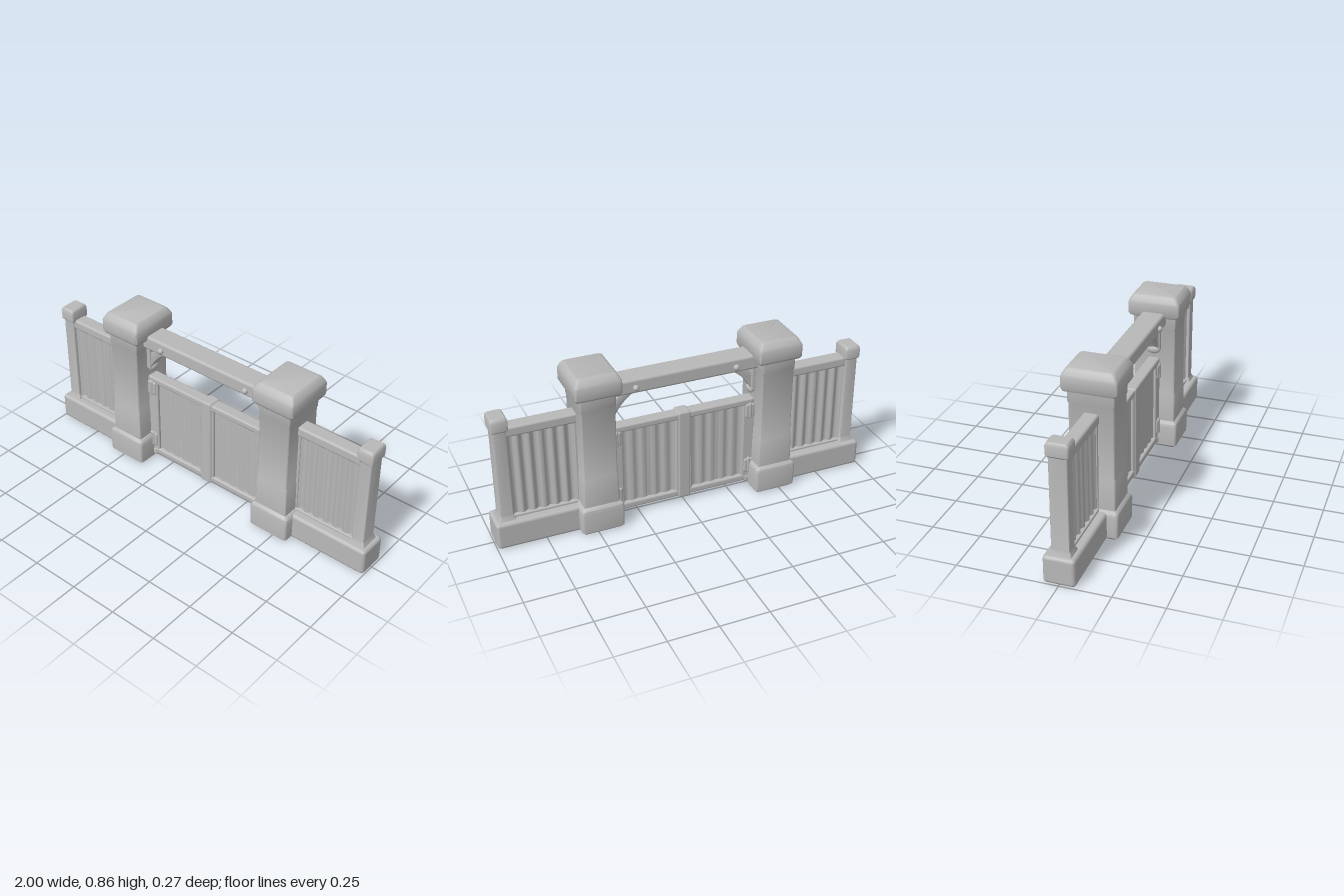
import * as THREE from 'three';
import { toCreasedNormals } from 'three/addons/utils/BufferGeometryUtils.js';
import { RoundedBoxGeometry } from 'three/addons/geometries/RoundedBoxGeometry.js';

export function createModel() {
  const stone = new THREE.MeshStandardMaterial({ color: 0xb8b8b8 });
  stone.name = 'grey stone';
  const root = new THREE.Group();
  root.name = 'gateway';

  function add(parent, name, geometry, x = 0, y = 0, z = 0) {
    const mesh = new THREE.Mesh(geometry, stone);
    mesh.name = name;
    mesh.position.set(x, y, z);
    parent.add(mesh);
    return mesh;
  }

  // Rounded block given by its limits
  function block(parent, name, x0, x1, y0, y1, halfDepth, r = 0.01) {
    const g = new RoundedBoxGeometry(x1 - x0, y1 - y0, halfDepth * 2, 2, r);
    return add(parent, name, g, (x0 + x1) / 2, (y0 + y1) / 2, 0);
  }

  // Stack of rounded rectangles; each level is [y, half width, half depth]
  function loft(levels, r) {
    const pos = [], index = [], n = 16;
    for (const [y, w, d] of levels) {
      for (let q = 0; q < 4; q++) {
        const sx = q === 0 || q === 3 ? 1 : -1, sz = q < 2 ? -1 : 1;
        for (let k = 0; k < 4; k++) {
          const a = (q + k / 3) * Math.PI / 2;
          pos.push(sx * (w - r) + r * Math.cos(a), y, sz * (d - r) - r * Math.sin(a));
        }
      }
    }
    for (let i = 0; i < levels.length - 1; i++) {
      for (let j = 0; j < n; j++) {
        const a = i * n + j, b = i * n + (j + 1) % n;
        index.push(a, b, b + n, a, b + n, a + n);
      }
    }
    const top = (levels.length - 1) * n;
    for (let j = 1; j < n - 1; j++) {
      index.push(0, j + 1, j, top, top + j, top + j + 1);
    }
    const g = new THREE.BufferGeometry();
    g.setAttribute('position', new THREE.Float32BufferAttribute(pos, 3));
    g.setIndex(index);
    return toCreasedNormals(g, 0.6);
  }

  // Upright sheet with rippled faces
  function ripple(width, height, depth, amp, waves) {
    const pts = [], n = waves * 8;
    const wave = t => amp * Math.cos(t * waves * Math.PI * 2);
    for (let i = 0; i <= n; i++) pts.push(new THREE.Vector2((i / n - 0.5) * width, -depth - wave(i / n)));
    for (let i = n; i >= 0; i--) pts.push(new THREE.Vector2((i / n - 0.5) * width, depth + wave(i / n)));
    const g = new THREE.ExtrudeGeometry(new THREE.Shape(pts), { depth: height, bevelEnabled: false });
    g.rotateX(-Math.PI / 2);
    return toCreasedNormals(g, 0.8);
  }

  // Shared profiles
  const pillarBase = loft([[0, 0.1, 0.12], [0.012, 0.11, 0.132], [0.12, 0.112, 0.134],
    [0.138, 0.108, 0.13], [0.151, 0.095, 0.116]], 0.014);
  const pillarShaft = loft([[0.14, 0.092, 0.115], [0.305, 0.09, 0.115], [0.316, 0.087, 0.111],
    [0.68, 0.087, 0.111], [0.69, 0.09, 0.115], [0.76, 0.09, 0.115]], 0.008);
  const pillarCap = loft([[0.743, 0.1, 0.117], [0.75, 0.113, 0.13], [0.762, 0.118, 0.137],
    [0.82, 0.118, 0.137], [0.832, 0.114, 0.132], [0.855, 0.102, 0.118], [0.862, 0.092, 0.108]], 0.014);
  const endPost = loft([[0.135, 0.044, 0.057], [0.147, 0.042, 0.054], [0.165, 0.033, 0.045],
    [0.64, 0.033, 0.045]], 0.007);
  const postCap = loft([[0.632, 0.035, 0.048], [0.64, 0.042, 0.055], [0.688, 0.043, 0.056],
    [0.7, 0.039, 0.051], [0.706, 0.033, 0.045]], 0.01);
  const fenceSheet = ripple(0.34, 0.47, 0.021, 0.007, 6);
  const gateSheet = ripple(0.3, 0.43, 0.014, 0.004, 5);
  const knob = new THREE.SphereGeometry(0.016, 16, 10);

  for (const s of [1, -1]) {
    const side = new THREE.Group();
    side.name = s > 0 ? 'leftSide' : 'rightSide';
    root.add(side);
    // Block limits mirrored about the middle
    const part = (name, a, b, y0, y1, d, r) =>
      block(side, name, Math.min(a * s, b * s), Math.max(a * s, b * s), y0, y1, d, r);

    // Main pillar
    add(side, 'pillarBase', pillarBase, s * 0.473);
    add(side, 'pillarShaft', pillarShaft, s * 0.473);
    add(side, 'pillarCap', pillarCap, s * 0.473);

    // Side fence
    part('plinth', 0.5, 0.998, 0, 0.143, 0.078, 0.018);
    part('fenceFootTrim', 0.55, 0.91, 0.13, 0.155, 0.036, 0.006);
    add(side, 'fencePanel', fenceSheet, s * 0.735, 0.14);
    part('fenceRail', 0.54, 0.915, 0.592, 0.645, 0.038, 0.012);
    part('fenceInnerStile', 0.55, 0.572, 0.14, 0.61, 0.032, 0.005);
    add(side, 'endPost', endPost, s * 0.934);
    add(side, 'endPostCap', postCap, s * 0.934);

    // Gate leaf
    add(side, 'gatePanel', gateSheet, s * 0.187, 0.06);
    part('gateTopRail', 0.003, 0.385, 0.482, 0.518, 0.032, 0.01);
    part('gateBottomRail', 0.003, 0.385, 0.03, 0.066, 0.032, 0.01);
    part('gateInnerStile', 0.003, 0.045, 0.03, 0.518, 0.03, 0.008);
    part('gateOuterStile', 0.326, 0.39, 0.035, 0.515, 0.03, 0.008);
    for (const y of [0.125, 0.45]) {
      part('hingePlate', 0.335, 0.39, y - 0.04, y + 0.04, 0.038, 0.01);
      const pin = add(side, 'hingePin', new THREE.CapsuleGeometry(0.017, 0.07, 4, 12), s * 0.362, y);
      pin.scale.z = 2.6;
    }
    part('hingeFoot', 0.34, 0.39, 0.02, 0.06, 0.036, 0.012);

    // Curved bracket below the beam
    const shape = new THREE.Shape();
    shape.moveTo(0.235, 0.71);
    shape.quadraticCurveTo(0.325, 0.665, 0.365, 0.585);
    shape.lineTo(0.385, 0.625);
    shape.quadraticCurveTo(0.36, 0.67, 0.305, 0.71);
    const strut = new THREE.ExtrudeGeometry(shape,
      { depth: 0.05, bevelSize: 0.004, bevelThickness: 0.004, bevelSegments: 2, curveSegments: 8 });
    strut.translate(0, 0, -0.025);
    const brace = add(side, 'brace', toCreasedNormals(strut, 0.6));
    if (s < 0) brace.rotation.y = Math.PI;
    part('bracePlate', 0.364, 0.392, 0.56, 0.715, 0.036, 0.008);
    add(side, 'braceFoot', knob, s * 0.372, 0.565).scale.set(1, 1.4, 2.2);

    // Beam bolts, front and back
    for (const z of [0.064, -0.064]) add(side, 'beamBolt', knob, s * 0.264, 0.732, z);
  }

  // Gate middle stile and overhead beam
  block(root, 'gateMiddleStile', -0.033, 0.033, 0.022, 0.525, 0.038, 0.01);
  block(root, 'beam', -0.4, 0.4, 0.699, 0.776, 0.061, 0.014);
  return root;
}
